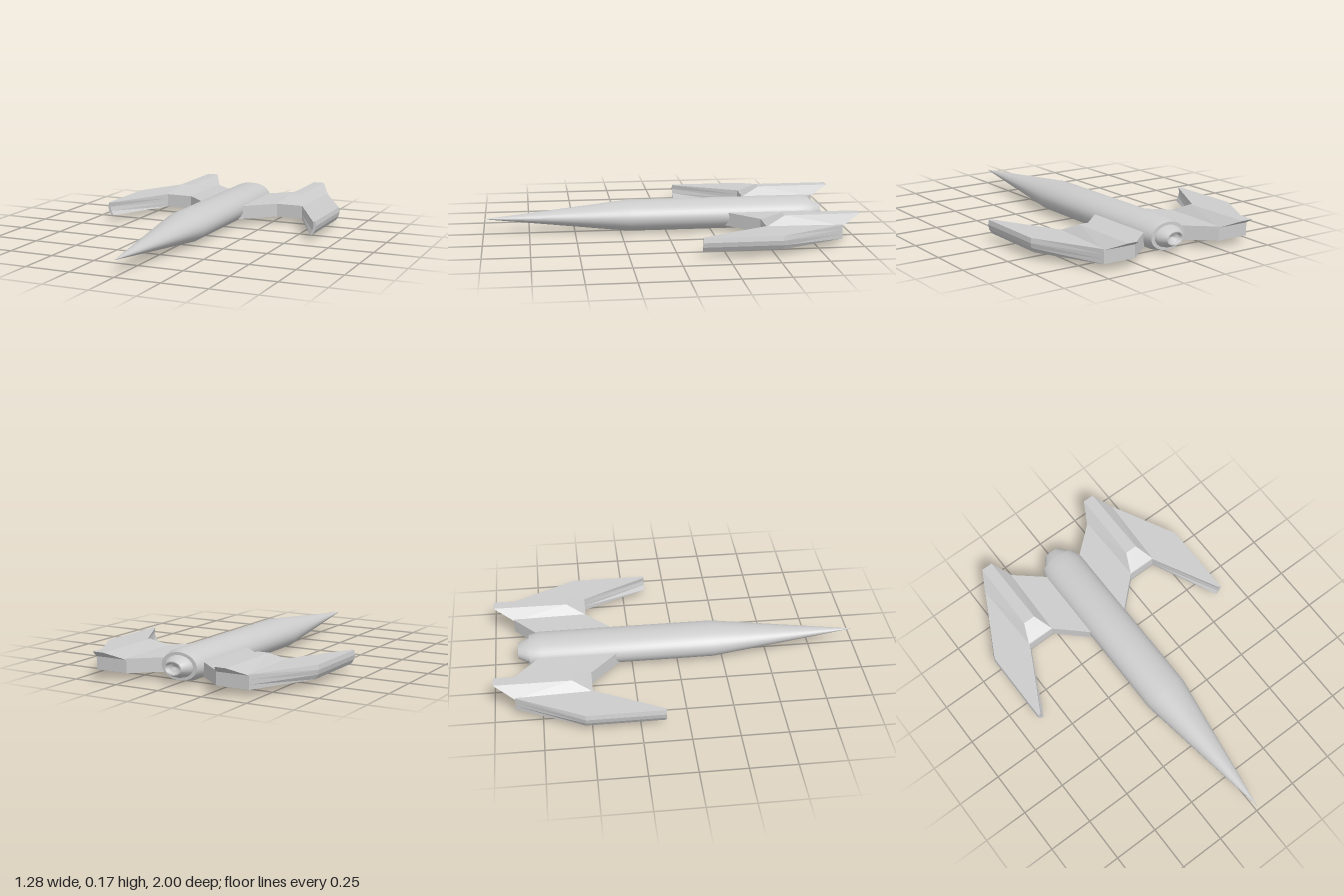
import * as THREE from 'three';
import { toCreasedNormals } from 'three/addons/utils/BufferGeometryUtils.js';
import { ConvexGeometry } from 'three/addons/geometries/ConvexGeometry.js';

const smooth = new THREE.MeshStandardMaterial({ color: 0xcccccc });
const faceted = new THREE.MeshStandardMaterial({ color: 0xcccccc, flatShading: true });

function addMesh(parent, name, geometry, material) {
  const mesh = new THREE.Mesh(geometry, material);
  mesh.name = name;
  parent.add(mesh);
}

// Elliptical body turned along z; profile pairs are [radius, z], tail to nose
function turned(profile) {
  const g = new THREE.LatheGeometry(profile.map(([r, z]) => new THREE.Vector2(r, z)), 40);
  g.rotateX(Math.PI / 2);
  g.scale(1, 0.69, 1);
  g.translate(0, 0.085, 0);
  return toCreasedNormals(g, 0.4);
}

// Flat forked wing plate, with its outer edge rounded off in layers
function wingPlate(side) {
  const outline = [
    [0.05, -0.275], [0.12, -0.34], [0.275, -0.485], [0.43, -0.485],
    [0.625, -0.12], [0.64, -0.12], [0.64, -0.535], [0.45, -0.89],
    [0.265, -0.89], [0.12, -0.765], [0.05, -0.7],
  ];
  const shape = new THREE.Shape(outline.map(([x, z]) => new THREE.Vector2(x * side, z)));
  const g = new THREE.ExtrudeGeometry(shape, { depth: 0.075, steps: 3, bevelEnabled: false });
  g.rotateX(Math.PI / 2);
  g.translate(0, 0.11, 0);
  const tuck = [0.02, 0.005, 0, 0.005];
  const p = g.attributes.position;
  for (let i = 0; i < p.count; i++) {
    const layer = Math.round((p.getY(i) - 0.035) / 0.025);
    if (Math.abs(p.getX(i)) > 0.6) p.setX(i, p.getX(i) - side * tuck[layer]);
  }
  return g;
}

// Raised pod on the wing, with a sloped front and an overhanging rear
function pod(side) {
  const corners = [
    [0.275, 0.108, -0.485], [0.435, 0.108, -0.485],
    [0.265, 0.105, -0.892], [0.452, 0.105, -0.892],
    [0.322, 0.155, -0.59], [0.39, 0.155, -0.59],
    [0.325, 0.155, -1], [0.388, 0.155, -1],
  ];
  return new ConvexGeometry(corners.map(([x, y, z]) => new THREE.Vector3(x * side, y, z)));
}

export function createModel() {
  const model = new THREE.Group();
  model.name = 'spaceship';

  addMesh(model, 'fuselage', turned([
    [0, -0.81], [0.105, -0.81], [0.122, -0.75], [0.122, 0.2], [0.0005, 0.995], [0, 0.995],
  ]), smooth);
  addMesh(model, 'tailNozzle', turned([
    [0, -0.835], [0.035, -0.85], [0.045, -0.87], [0.052, -0.87], [0.08, -0.825], [0.085, -0.8],
  ]), smooth);

  for (const side of [1, -1]) {
    const wing = new THREE.Group();
    wing.name = side > 0 ? 'leftWing' : 'rightWing';
    addMesh(wing, 'wingPlate', wingPlate(side), faceted);
    addMesh(wing, 'enginePod', pod(side), faceted);
    model.add(wing);
  }
  return model;
}
